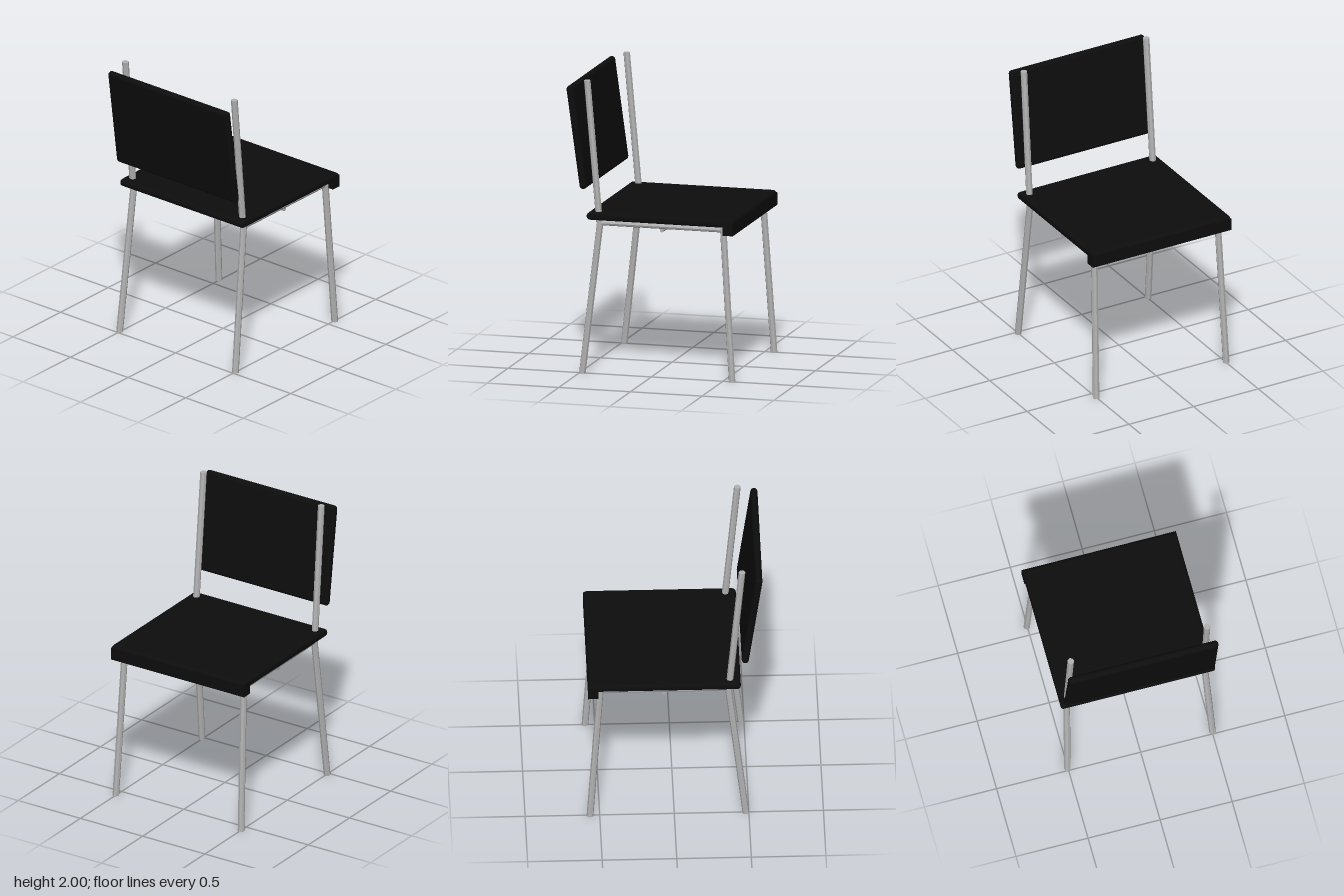
import * as THREE from 'three';

export function createModel() {
  const chair = new THREE.Group();
  chair.name = 'chair';
  const black = new THREE.MeshStandardMaterial({ color: 0x0d0d0d });
  black.name = 'black padding';
  const steel = new THREE.MeshStandardMaterial({ color: 0xb2b2b2 });
  steel.name = 'steel tube';
  steel.flatShading = true;

  const add = (name, geometry, material) => {
    const mesh = new THREE.Mesh(geometry, material);
    mesh.name = name;
    chair.add(mesh);
    return mesh;
  };

  // Rounded panel: a capsule profile between two [z, y] points, swept across x
  const panel = (name, a, b, radius, width, bevel) => {
    const angle = Math.atan2(b[1] - a[1], b[0] - a[0]);
    const shape = new THREE.Shape();
    shape.absarc(b[0], b[1], radius, angle - Math.PI / 2, angle + Math.PI / 2, false);
    shape.absarc(a[0], a[1], radius, angle + Math.PI / 2, angle + Math.PI * 1.5, false);
    shape.closePath();
    const depth = width - 2 * bevel;
    const geometry = new THREE.ExtrudeGeometry(shape, {
      depth, curveSegments: 8, bevelEnabled: true, bevelSegments: 3,
      bevelThickness: bevel, bevelSize: bevel, bevelOffset: -bevel,
    });
    geometry.translate(0, 0, -depth / 2).rotateY(-Math.PI / 2);
    return add(name, geometry, black);
  };

  // Slanted tube with level ends: an upright cylinder sheared between two points
  const slantedTube = (name, from, to, radius) => {
    const height = to[1] - from[1];
    const geometry = new THREE.CylinderGeometry(radius, radius, height, 8);
    const shear = new THREE.Matrix4().set(
      1, (to[0] - from[0]) / height, 0, (from[0] + to[0]) / 2,
      0, 1, 0, (from[1] + to[1]) / 2,
      0, (to[2] - from[2]) / height, 1, (from[2] + to[2]) / 2,
      0, 0, 0, 1);
    geometry.applyMatrix4(shear);
    return add(name, geometry, steel);
  };

  // Seat with a square lip hanging down at its outer edge
  panel('seat', [-0.552, 1.081], [0.42, 1.081], 0.026, 1.07, 0.018);
  add('seatLip', new THREE.BoxGeometry(1.07, 0.085, 0.07).translate(0, 1.046, -0.543), black);

  // Leaning backrest
  panel('backrest', [0.476, 1.283], [0.567, 1.937], 0.024, 1.04, 0.02);

  // Legs, posts and seat rails, mirrored
  for (const [side, s] of [['left', 1], ['right', -1]]) {
    slantedTube(side + 'RearLeg', [s * 0.503, 0, 0.48], [s * 0.477, 1.035, 0.363], 0.023);
    slantedTube(side + 'FrontLeg', [s * 0.503, 0, -0.565], [s * 0.477, 1.045, -0.495], 0.023);
    slantedTube(side + 'BackPost', [s * 0.477, 1.035, 0.368], [s * 0.473, 2, 0.455], 0.023);
    const rail = new THREE.CylinderGeometry(0.018, 0.018, 0.87, 8);
    add(side + 'SeatRail', rail.rotateX(Math.PI / 2).translate(s * 0.477, 1.031, -0.067), steel);
  }

  // Crossbar under the seat
  const bar = new THREE.CylinderGeometry(0.014, 0.014, 0.96, 8);
  add('crossbar', bar.rotateZ(Math.PI / 2).translate(0, 1.003, -0.067), steel);

  return chair;
}
